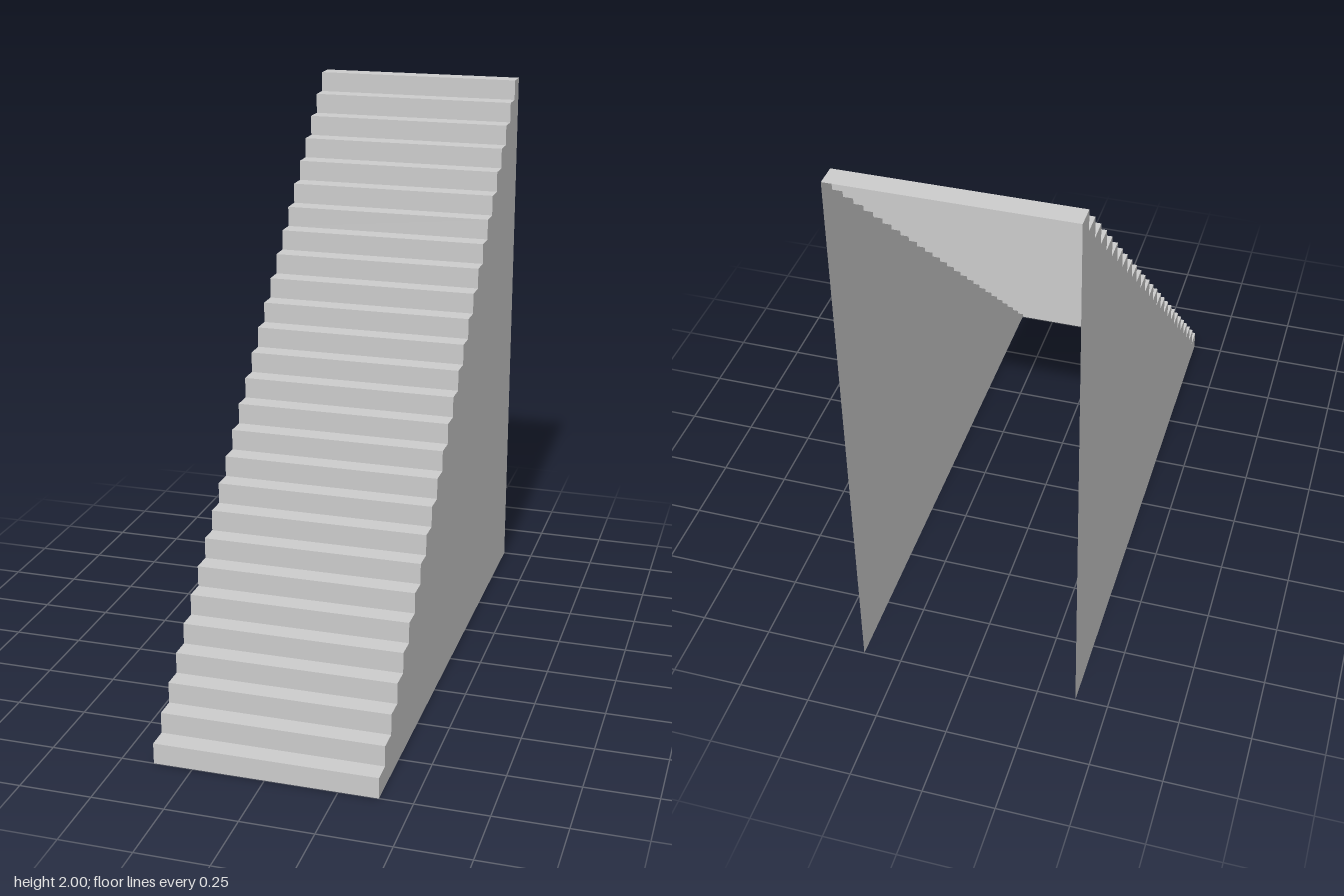
import * as THREE from 'three';

const STEPS = 27;
const SIZE = 2 / STEPS; // rise and run of one step
const HALF_WIDTH = 0.386;

export function createModel() {
  const group = new THREE.Group();
  group.name = 'staircase';
  const material = new THREE.MeshStandardMaterial({ color: 0xcccccc, side: THREE.DoubleSide, flatShading: true });

  function add(name, geometry, x, y, z) {
    const mesh = new THREE.Mesh(geometry, material);
    mesh.name = name;
    mesh.position.set(x, y, z);
    group.add(mesh);
  }

  // Treads and risers: an open folded sheet climbing towards the back
  const riser = new THREE.PlaneGeometry(2 * HALF_WIDTH, SIZE);
  const tread = riser.clone().rotateX(-Math.PI / 2);
  for (let i = 0; i < STEPS; i++) {
    add(`riser${i + 1}`, riser, 0, (i + 0.5) * SIZE, 1 - i * SIZE);
    add(`tread${i + 1}`, tread, 0, (i + 1) * SIZE, 1 - (i + 0.5) * SIZE);
  }

  // Thin stepped side walls; the back and underside stay open
  for (const side of [-1, 1]) {
    const outline = new THREE.Shape();
    outline.moveTo(side, 0); // shape x becomes -side * z
    outline.lineTo(-side, 0);
    for (let i = 0; i < STEPS; i++) {
      const z = 1 - i * SIZE;
      outline.lineTo(-side * z, (i + 1) * SIZE);
      outline.lineTo(-side * (z - SIZE), (i + 1) * SIZE);
    }
    outline.closePath();
    const wall = new THREE.ShapeGeometry(outline).rotateY(side * Math.PI / 2);
    add(side > 0 ? 'leftWall' : 'rightWall', wall, side * HALF_WIDTH, 0, 0);
  }

  return group;
}
